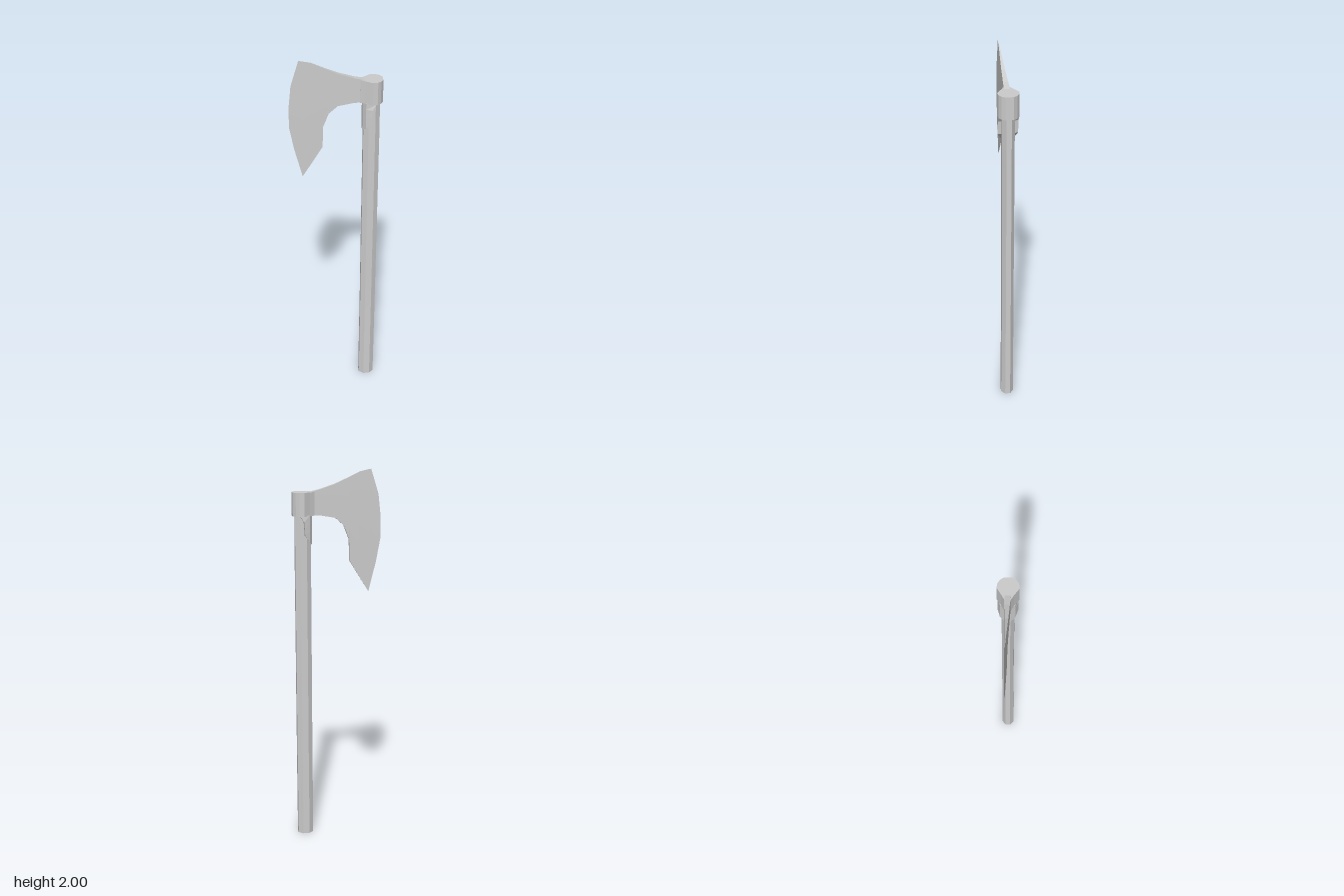
import * as THREE from 'three';

const material = new THREE.MeshStandardMaterial({ color: 0xcccccc, flatShading: true });

// Closed solid through a row of equal-length rings, each counterclockwise about the loft direction
function loft(name, rings) {
  const n = rings[0].length, last = rings.length - 1;
  const points = rings.flat();
  const index = [];
  for (let i = 0; i < last; i++) {
    for (let j = 0; j < n; j++) {
      const k = (j + 1) % n, a = i * n, b = a + n;
      index.push(a + j, a + k, b + k, a + j, b + k, b + j);
    }
  }
  // End caps as fans around each ring's centre
  for (const [ring, base, flip] of [[rings[0], 0, true], [rings[last], last * n, false]]) {
    const c = points.push([0, 1, 2].map(d => ring.reduce((s, p) => s + p[d], 0) / n)) - 1;
    for (let j = 0; j < n; j++) {
      const a = base + j, b = base + (j + 1) % n;
      index.push(c, flip ? b : a, flip ? a : b);
    }
  }
  const geometry = new THREE.BufferGeometry();
  geometry.setAttribute('position', new THREE.Float32BufferAttribute(points.flat(), 3));
  geometry.setIndex(index);
  geometry.computeVertexNormals();
  const mesh = new THREE.Mesh(geometry, material);
  mesh.name = name;
  return mesh;
}

// Cutting edge as [y, x], bottom tip to top tip
const EDGE = [[1.36, -0.17], [1.52, -0.21], [1.645, -0.233], [1.75, -0.233], [1.87, -0.22], [2.0, -0.18]];

function edgeX(y) {
  const i = Math.max(1, EDGE.findIndex(p => p[0] >= y));
  const [y0, x0] = EDGE[i - 1], [y1, x1] = EDGE[i];
  return x0 + (x1 - x0) * (y - y0) / (y1 - y0);
}

// Bearded blade: columns of [x, top, bottom], thickening away from the cutting edge
function blade() {
  const columns = [
    [-0.233, 1.75, 1.645], [-0.22, 1.87, 1.574], [-0.21, 1.9025, 1.52], [-0.18, 2.0, 1.4],
    [-0.17, 1.999, 1.36], [-0.12, 1.988, 1.44], [-0.066, 1.962, 1.53], [-0.064, 1.961, 1.64],
    [-0.035, 1.948, 1.715], [0.01, 1.928, 1.755], [0.09, 1.902, 1.77], [0.15, 1.888, 1.772],
  ];
  const rows = 6;
  return loft('blade', columns.map(([x, top, bottom]) => {
    const front = [];
    for (let j = 0; j <= rows; j++) {
      const y = top + (bottom - top) * j / rows;
      front.push([x, y, 0.042 * Math.max(0, x - edgeX(y))]);
    }
    return [...front, ...front.map(([px, y, z]) => [px, y, -z]).reverse()];
  }));
}

// Socket around the top of the handle, flaring out of the blade's neck
function socket() {
  const half = [[0.12, 0.015], [0.145, 0.03], [0.178, 0.053], [0.203, 0.05], [0.22, 0.038], [0.233, 0.02]];
  const outline = [...half, ...half.map(([x, z]) => [x, -z]).reverse()];
  return loft('socket', [1.77, 1.89].map(y => outline.map(([x, z]) => [x, y, z])));
}

// Langet: shell under the socket that wraps the blade side of the handle
function langet() {
  const half = [[0.133, 0.015], [0.148, 0.037], [0.178, 0.05]];
  const outline = [...half.map(([x, z]) => [x, -z]).reverse(), ...half];
  const ring = (yOf, rearX) => outline.map(([x, z]) => [x > 0.17 ? rearX : x, yOf(x), z]);
  return loft('langet', [
    ring(x => 1.62 + (x - 0.133) * 1.1, 0.174),
    ring(() => 1.7, 0.176),
    ring(() => 1.74, 0.179),
    ring(() => 1.775, 0.2),
  ]);
}

// Eight-sided oval handle, slightly uneven along its length
function handle() {
  const levels = [
    [0, 0.179, 0.041, 0.0035, 0.0345], [0.5, 0.18, 0.041, 0.002, 0.032],
    [1.2, 0.18, 0.041, 0.001, 0.031], [1.6, 0.18, 0.041, 0.001, 0.031], [1.88, 0.18, 0.039, 0.001, 0.031],
  ];
  return loft('handle', levels.map(([y, cx, rx, cz, rz]) =>
    Array.from({ length: 8 }, (_, k) => {
      const a = (k + 0.5) * Math.PI / 4, s = 1 / Math.cos(Math.PI / 8);
      return [cx + Math.sin(a) * rx * s, y, cz + Math.cos(a) * rz * s];
    })));
}

export function createModel() {
  const group = new THREE.Group();
  group.name = 'axe';
  group.add(blade(), socket(), langet(), handle());
  return group;
}
